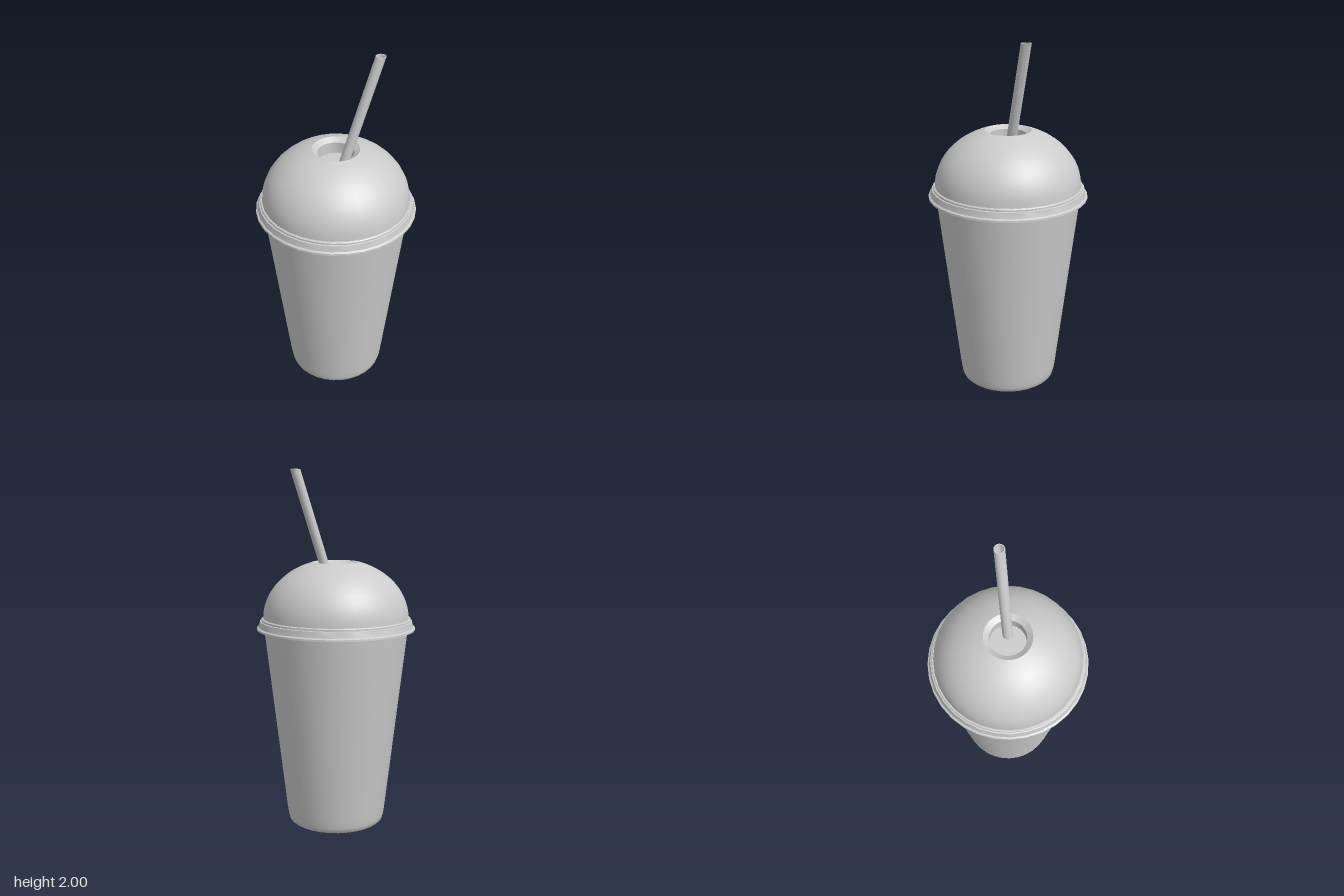
import * as THREE from 'three';
import { toCreasedNormals } from 'three/addons/utils/BufferGeometryUtils.js';

const SIDES = 32;
const material = new THREE.MeshStandardMaterial({ color: 0xcccccc, side: THREE.DoubleSide });

// Turned part from [radius, height] pairs, with sharp edges kept
function turned(name, profile) {
  const points = profile.map(([r, y]) => new THREE.Vector2(r, y));
  const geometry = toCreasedNormals(new THREE.LatheGeometry(points, SIDES), 0.6);
  const mesh = new THREE.Mesh(geometry, material);
  mesh.name = name;
  return mesh;
}

// Straw leaning sideways but cut level: rings of a hollow tube are sheared
function createStraw() {
  const bottom = new THREE.Vector3(0.03, 1.40, -0.03);
  const top = new THREE.Vector3(0.142, 2, -0.19);
  const h = top.y - bottom.y;
  const profile = [[0.023, h], [0.023, 0], [0.028, 0], [0.028, h], [0.023, h]];
  const geometry = new THREE.LatheGeometry(profile.map(([r, y]) => new THREE.Vector2(r, y)), 16);
  const p = geometry.attributes.position;
  for (let i = 0; i < p.count; i++) {
    const t = p.getY(i) / h;
    p.setXYZ(
      i,
      p.getX(i) + THREE.MathUtils.lerp(bottom.x, top.x, t),
      p.getY(i) + bottom.y,
      p.getZ(i) + THREE.MathUtils.lerp(bottom.z, top.z, t)
    );
  }
  const mesh = new THREE.Mesh(toCreasedNormals(geometry, 0.8), material);
  mesh.name = 'straw';
  return mesh;
}

export function createModel() {
  const group = new THREE.Group();
  group.name = 'drinkCup';

  // Tapered cup with a softened bottom edge
  group.add(turned('cup', [
    [0, 0], [0.262, 0], [0.271, 0.008], [0.277, 0.03], [0.283, 0.07], [0.405, 1.12], [0.409, 1.16],
  ]));

  // Flared lid rim with a bead on top and an open underside
  group.add(turned('lidRim', [
    [0.408, 1.155], [0.422, 1.15], [0.437, 1.12], [0.447, 1.12], [0.446, 1.13], [0.437, 1.136],
    [0.428, 1.168], [0.421, 1.17], [0.421, 1.179], [0.416, 1.184], [0.408, 1.184],
  ]));

  // Dome: an elliptical arc that stops at the straw opening
  const dome = [];
  const end = Math.acos(0.13 / 0.41);
  for (let i = 0; i <= 12; i++) {
    const a = (end * i) / 12;
    dome.push([0.41 * Math.cos(a), 1.18 + 0.333 * Math.sin(a)]);
  }
  group.add(turned('lidDome', dome));

  // Recessed straw opening: sloping lip, short wall and floor
  group.add(turned('strawOpening', [[0.13, dome[12][1]], [0.099, 1.475], [0.099, 1.41], [0, 1.41]]));

  group.add(createStraw());
  return group;
}
